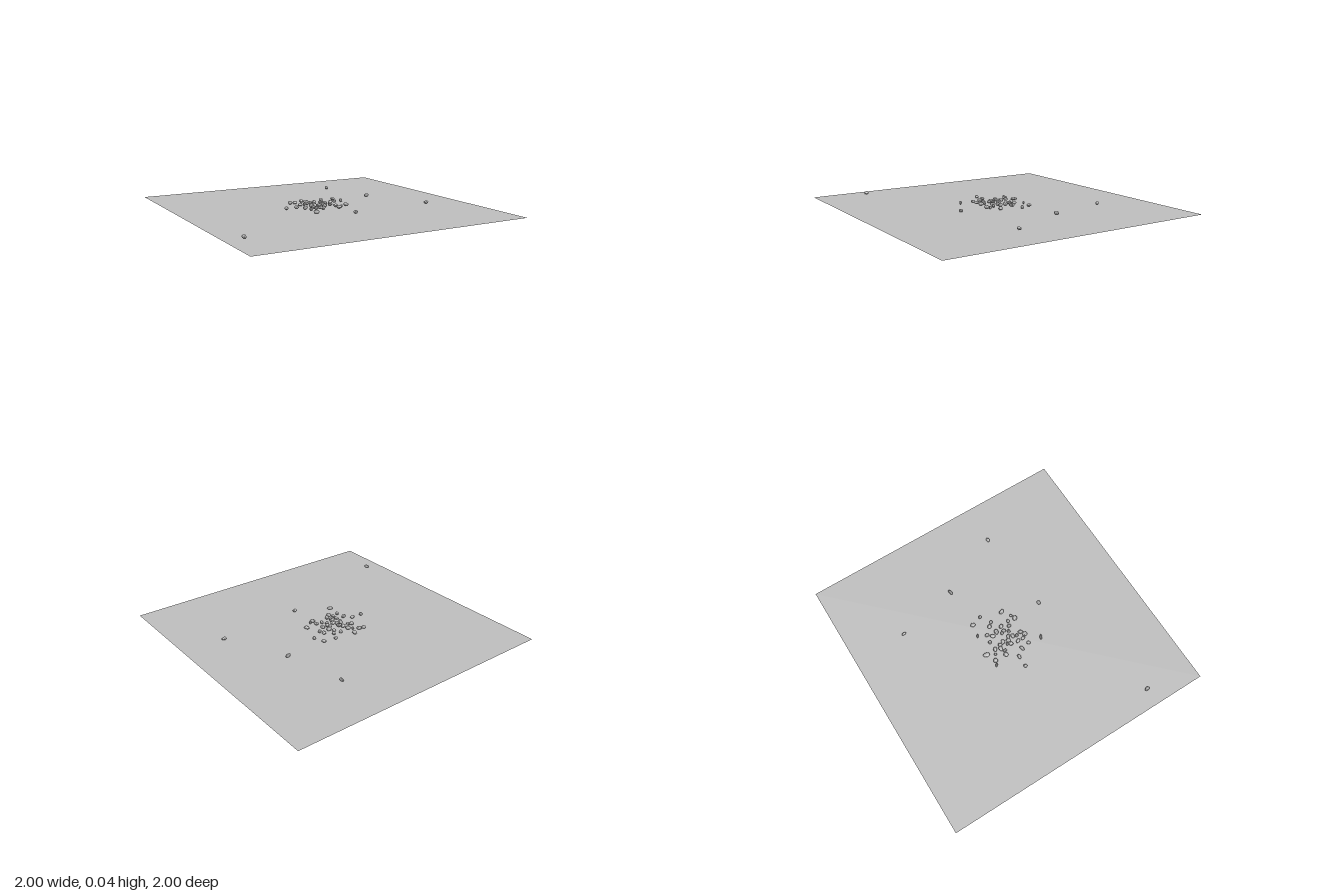
import * as THREE from 'three';

// Stray pebbles: x, z, width along x, depth along z, turn
const STRAY = [
  [0.38, -0.605, 0.02, 0.036, 0.1], [0.48, -0.16, 0.044, 0.024, 0.2],
  [0.70, 0.295, 0.034, 0.026, 0], [-0.875, 0.625, 0.028, 0.038, 0.2],
  [0.07, 0.34, 0.035, 0.028, 0], [-0.16, 0.21, 0.042, 0.02, -0.5],
  [-0.285, 0, 0.031, 0.028, 0], [-0.203, 0, 0.038, 0.028, 0],
  [0.175, -0.155, 0.028, 0.038, 0], [0.2, -0.08, 0.027, 0.025, 0.3],
  [0.085, -0.17, 0.03, 0.016, -0.5], [-0.17, -0.168, 0.032, 0.018, -0.7],
  [0.152, 0.076, 0.032, 0.042, 0.4], [-0.16, 0.05, 0.042, 0.028, 0.3],
];

// Heap in the middle: x, z, mean diameter
const HEAP = [
  [-0.07, -0.192, 0.039], [-0.14, -0.157, 0.036], [-0.1, -0.135, 0.022],
  [-0.07, -0.118, 0.036], [0, -0.12, 0.028], [0.055, -0.11, 0.03],
  [0.027, -0.08, 0.032], [0.1, -0.06, 0.032], [0.12, -0.035, 0.027],
  [0.04, -0.04, 0.038], [-0.14, -0.07, 0.036], [-0.11, -0.062, 0.026],
  [-0.085, -0.08, 0.032], [-0.06, -0.072, 0.034], [-0.05, -0.04, 0.036],
  [-0.088, 0, 0.036], [-0.06, 0, 0.034], [-0.034, 0.012, 0.032],
  [-0.05, 0.042, 0.03], [0.01, -0.01, 0.026], [0.02, 0.01, 0.03],
  [0.058, 0.01, 0.034], [0, 0.038, 0.027], [0.03, 0.06, 0.03],
  [0.065, 0.075, 0.026], [0.06, 0.13, 0.039], [0.09, 0.115, 0.022],
  [-0.05, 0.105, 0.035], [-0.08, 0.125, 0.038], [-0.1, 0.095, 0.03],
  [-0.1, 0.055, 0.028], [-0.06, 0.07, 0.026], [-0.15, 0.11, 0.03],
  [-0.08, -0.022, 0.024],
];

function seeded(seed) {
  return () => {
    seed = (seed * 16807) % 2147483647;
    return seed / 2147483647;
  };
}

// Lumpy faceted stone of unit diameter
function stoneGeometry(rand) {
  const geo = new THREE.IcosahedronGeometry(0.5, 1);
  const pos = geo.attributes.position;
  const v = new THREE.Vector3();
  const [a, b, c] = [rand() * 6, rand() * 6, rand() * 6];
  for (let i = 0; i < pos.count; i++) {
    v.fromBufferAttribute(pos, i);
    const lump = 1 + 0.08 * (Math.sin(5 * v.x + a) + Math.sin(6 * v.y + b) + Math.sin(5 * v.z + c));
    v.multiplyScalar(lump);
    pos.setXYZ(i, v.x, v.y, v.z);
  }
  geo.computeVertexNormals();
  return geo;
}

export function createModel() {
  const group = new THREE.Group();
  const ground = new THREE.MeshStandardMaterial({ color: 0xbfbfbf, side: THREE.DoubleSide });
  ground.name = 'groundGrey';
  const stone = new THREE.MeshStandardMaterial({ color: 0xb8b8b8, flatShading: true });
  stone.name = 'stoneGrey';

  // Square ground sheet
  const sheet = new THREE.Mesh(new THREE.PlaneGeometry(2, 2).rotateX(-Math.PI / 2), ground);
  sheet.name = 'ground';
  group.add(sheet);

  // A few stone shapes shared by all pebbles
  const rand = seeded(4711);
  const shapes = Array.from({ length: 6 }, () => stoneGeometry(rand));
  let count = 0;
  function addPebble(parent, x, z, width, depth, turn, lift) {
    const pebble = new THREE.Mesh(shapes[count % shapes.length], stone);
    pebble.name = `pebble${++count}`;
    pebble.scale.set(width, 0.021 + 0.004 * rand(), depth);
    pebble.rotation.y = turn;
    pebble.position.set(x, 0.017 + lift, z);
    parent.add(pebble);
  }

  const strays = new THREE.Group();
  strays.name = 'strayPebbles';
  STRAY.forEach(([x, z, w, d, turn]) => addPebble(strays, x, z, w, d, turn, 0));

  const heap = new THREE.Group();
  heap.name = 'pebbleHeap';
  HEAP.forEach(([x, z, size], i) => {
    const lift = i % 5 === 3 ? 0.006 : 0;
    addPebble(heap, x, z, size * 1.12, size * 0.9, rand() * Math.PI, lift);
  });

  group.add(strays, heap);
  return group;
}
